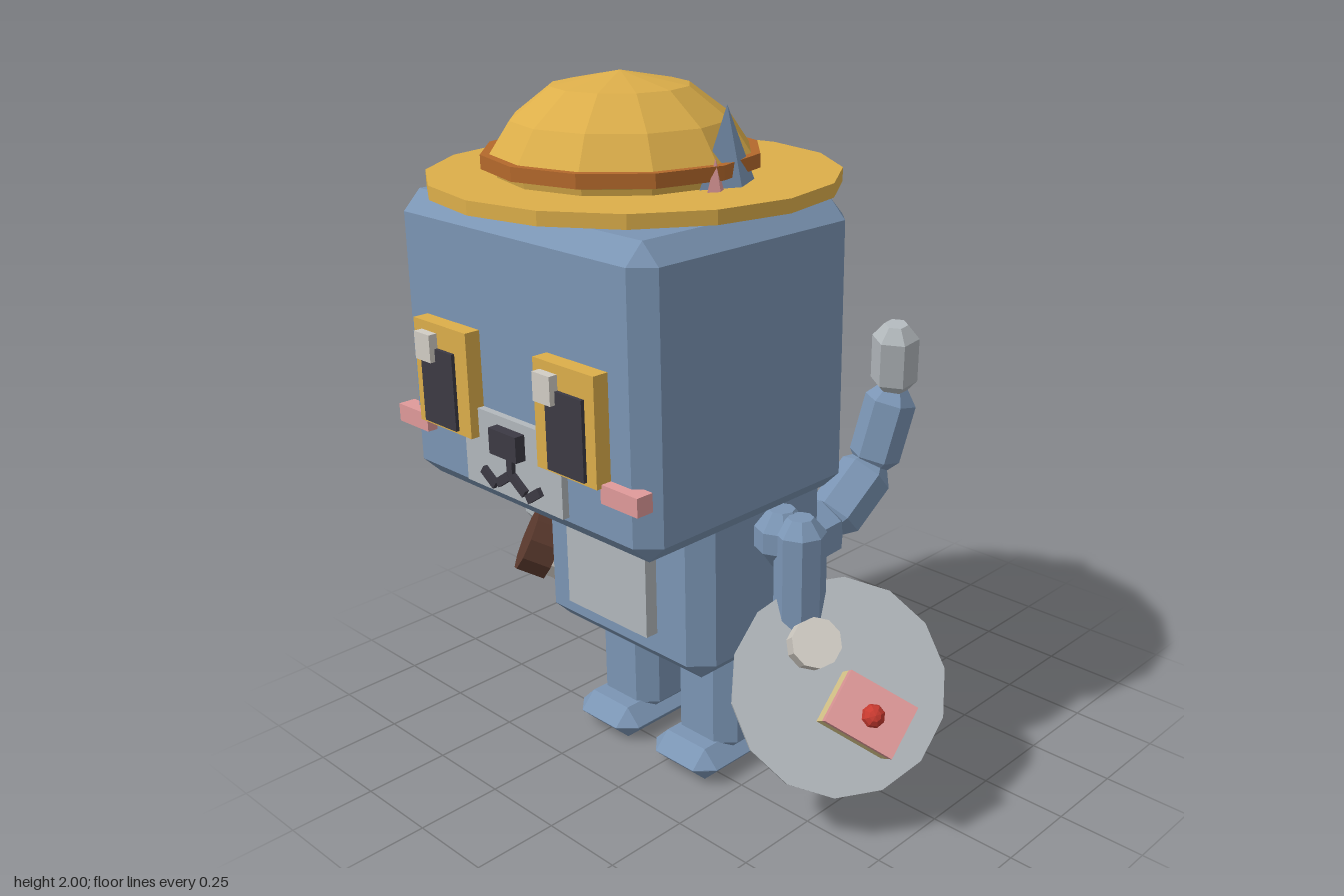
import * as THREE from 'three';
import { ConvexGeometry } from 'three/addons/geometries/ConvexGeometry.js';

const mat = (name, color) => {
  const m = new THREE.MeshStandardMaterial({ color });
  m.name = name;
  return m;
};
const V = (x, y, z) => new THREE.Vector3(x, y, z);
const UP = V(0, 1, 0);

// Faceted copy of a geometry, with hard edges
function facet(geo) {
  const g = geo.index ? geo.toNonIndexed() : geo;
  g.computeVertexNormals();
  return g;
}

// Box with every edge chamfered by b
function chamferBox(w, h, d, b) {
  const pts = [];
  for (const x of [-1, 1]) for (const y of [-1, 1]) for (const z of [-1, 1]) {
    const [hx, hy, hz] = [w / 2, h / 2, d / 2];
    pts.push(V(x * hx, y * (hy - b), z * (hz - b)));
    pts.push(V(x * (hx - b), y * hy, z * (hz - b)));
    pts.push(V(x * (hx - b), y * (hy - b), z * hz));
  }
  return new ConvexGeometry(pts);
}

// Prism with chamfered ends
function limb(r, length, sides, cap = r * 0.6) {
  const h = length / 2;
  const profile = [[0, -h], [r * 0.5, -h], [r, -h + cap], [r, h - cap], [r * 0.5, h], [0, h]];
  return facet(new THREE.LatheGeometry(profile.map(p => new THREE.Vector2(...p)), sides));
}

const cylinder = (r, h, sides, r2 = r) => facet(new THREE.CylinderGeometry(r2, r, h, sides));

export function createModel() {
  const root = new THREE.Group();
  root.name = 'cat';
  const blue = mat('blue fur', 0x7b95b4);
  const gold = mat('gold', 0xdcae4a);
  const dark = mat('charcoal', 0x3c3a44);
  const grey = mat('light grey', 0xb2b8bc);
  const white = mat('off white', 0xd2cdc5);
  const pink = mat('pink', 0xe09a9a);
  const rust = mat('hat band brown', 0xb4692c);
  const brown = mat('chocolate brown', 0x5a392d);
  const red = mat('cherry red', 0xc83a30);
  const cream = mat('cake cream', 0xdcc98c);

  function add(name, geo, material, x, y, z, parent = root) {
    const m = new THREE.Mesh(geo, material);
    m.name = name;
    m.position.set(x, y, z);
    parent.add(m);
    return m;
  }
  // Plain box given by its limits
  const block = (name, material, x0, x1, y0, y1, z0, z1) =>
    add(name, new THREE.BoxGeometry(x1 - x0, y1 - y0, z1 - z0), material,
      (x0 + x1) / 2, (y0 + y1) / 2, (z0 + z1) / 2);
  // Limb segment between two points
  function bone(name, a, b, r, material, sides) {
    const mid = a.clone().lerp(b, 0.5);
    const m = add(name, limb(r, a.distanceTo(b), sides), material, mid.x, mid.y, mid.z);
    m.quaternion.setFromUnitVectors(UP, b.clone().sub(a).normalize());
    return m;
  }

  const cx = -0.087; // the cat's own centre line

  // Head, body and belly
  add('head', chamferBox(0.955, 0.8, 0.76, 0.053), blue, cx, 1.29, 0.345);
  add('body', chamferBox(0.665, 0.69, 0.53, 0.058), blue, cx, 0.715, 0.14);
  block('belly', grey, cx - 0.162, cx + 0.162, 0.49, 0.95, 0.38, 0.445);

  // Face
  block('muzzle', grey, -0.28, 0.105, 0.955, 1.17, 0.7, 0.745);
  block('nose', dark, cx - 0.054, cx + 0.054, 1.075, 1.145, 0.72, 0.775);
  block('mouthStem', dark, cx - 0.011, cx + 0.011, 1.01, 1.08, 0.73, 0.757);
  for (const s of [-1, 1]) {
    [[0.03, 1.003, -0.6], [0.09, 0.992, 0.6]].forEach(([dx, y, a]) => {
      const m = add('mouthStroke', new THREE.BoxGeometry(0.06, 0.024, 0.026), dark, cx + s * dx, y, 0.745);
      m.rotation.z = s * a;
    });
    const ex = cx + s * 0.243;
    block('eye', gold, ex - 0.11, ex + 0.11, 1.09, 1.375, 0.7, 0.77);
    const px = cx + s * 0.251;
    block('pupil', dark, px - 0.067, px + 0.067, 1.1, 1.31, 0.75, 0.78);
    const hx = s < 0 ? -0.374 : 0.104;
    block('eyeHighlight', white, hx - 0.032, hx + 0.032, 1.275, 1.35, 0.75, 0.795);
    const kx = cx + s * 0.412;
    block('cheek', pink, kx - 0.064, kx + 0.064, 1.05, 1.1, 0.705, 0.755);

    // Ears: four-sided spikes poking through the brim, pink in front
    const ear = add('ear', facet(new THREE.ConeGeometry(1, 0.26, 4)), blue, cx + s * 0.318, 1.81, 0.283);
    ear.scale.set(0.065, 1, 0.13);
    const inner = add('innerEar', facet(new THREE.ConeGeometry(1, 0.14, 4)), pink, cx + s * 0.352, 1.755, 0.36);
    inner.scale.set(0.03, 1, 0.05);

    // Legs and feet
    const lx = cx + s * 0.163;
    add('leg', chamferBox(0.232, 0.44, 0.23, 0.05), blue, lx, 0.265, 0.14);
    add('foot', chamferBox(0.25, 0.1, 0.32, 0.049), blue, lx, 0.05, 0.19);

    // Arms
    add('shoulder', limb(0.075, 0.16, 8, 0.05), blue, cx + s * 0.385, 0.77, 0.143);
    add('arm', limb(0.072, 0.36, 8), blue, cx + s * 0.453, 0.665, 0.143);
    add('hand', limb(0.082, 0.16, 8, 0.05), blue, cx + s * 0.453, 0.49, 0.143);
  }

  // Straw hat
  add('hatBrim', cylinder(0.54, 0.036, 16), gold, cx, 1.727, 0.297);
  const crown = [[0.31, 1.69], [0.325, 1.76], [0.342, 1.8], [0.285, 1.885], [0.18, 1.965], [0, 2]];
  add('hatCrown', facet(new THREE.LatheGeometry(crown.map(p => new THREE.Vector2(...p)), 12)), gold, cx, 0, 0.34);
  add('hatBand', cylinder(0.362, 0.036, 12), rust, cx, 1.787, 0.34);

  // Tail, curling up to a pale tip
  const tail = [V(cx, 0.49, -0.06), V(-0.09, 0.45, -0.33), V(-0.09, 0.46, -0.53),
    V(-0.06, 0.625, -0.71), V(-0.025, 0.875, -0.765), V(0, 1.115, -0.735)];
  for (let i = 0; i < 5; i++) {
    const tip = i === 4;
    const ext = tail[i + 1].clone().sub(tail[i]).setLength(tip ? 0 : 0.02);
    bone(tip ? 'tailTip' : 'tailSegment', tail[i].clone().sub(ext), tail[i + 1].clone().add(ext),
      [0.1, 0.098, 0.092, 0.085, 0.076][i], tip ? grey : blue, 6);
  }

  // Microphone in the right hand
  bone('microphoneHandle', V(-0.53, 0.45, 0.09), V(-0.68, 0.54, 0.14), 0.045, dark, 8);
  add('microphoneHead', facet(new THREE.SphereGeometry(0.068, 7, 5)), grey, -0.71, 0.56, 0.147);

  // Layered biscuit in the right hand
  const biscuit = new THREE.Group();
  biscuit.name = 'biscuit';
  biscuit.position.set(-0.51, 0.43, 0.155);
  biscuit.quaternion.setFromUnitVectors(UP, V(-0.6, 0.42, 0.68).normalize());
  root.add(biscuit);
  add('backWafer', cylinder(0.095, 0.07, 10), brown, 0, 0.035, 0, biscuit);
  add('filling', cylinder(0.092, 0.04, 10), white, 0, 0.09, 0, biscuit);
  add('frontWafer', cylinder(0.105, 0.09, 10), brown, 0, 0.155, 0, biscuit);

  // Tilted plate with a cup and a slice of cake, by the left hand
  const tray = new THREE.Group();
  tray.name = 'plateOfTreats';
  tray.position.set(0.525, 0.4, 0.16);
  const n = V(0.65, 0.537, 0.537).normalize();
  const side = V(0, -1, 1).normalize();
  tray.quaternion.setFromRotationMatrix(new THREE.Matrix4().makeBasis(n.clone().cross(side), n, side));
  root.add(tray);
  add('plate', cylinder(0.295, 0.024, 14), grey, 0, 0, 0, tray);
  add('cup', cylinder(0.068, 0.11, 10), white, -0.12, 0.065, -0.057, tray);
  add('cake', new THREE.BoxGeometry(0.2, 0.1, 0.15), cream, 0.09, 0.055, 0.038, tray);
  add('icing', new THREE.BoxGeometry(0.2, 0.045, 0.15), pink, 0.09, 0.127, 0.038, tray);
  add('cherry', facet(new THREE.SphereGeometry(0.032, 8, 6)), red, 0.092, 0.172, 0.042, tray);

  return root;
}
